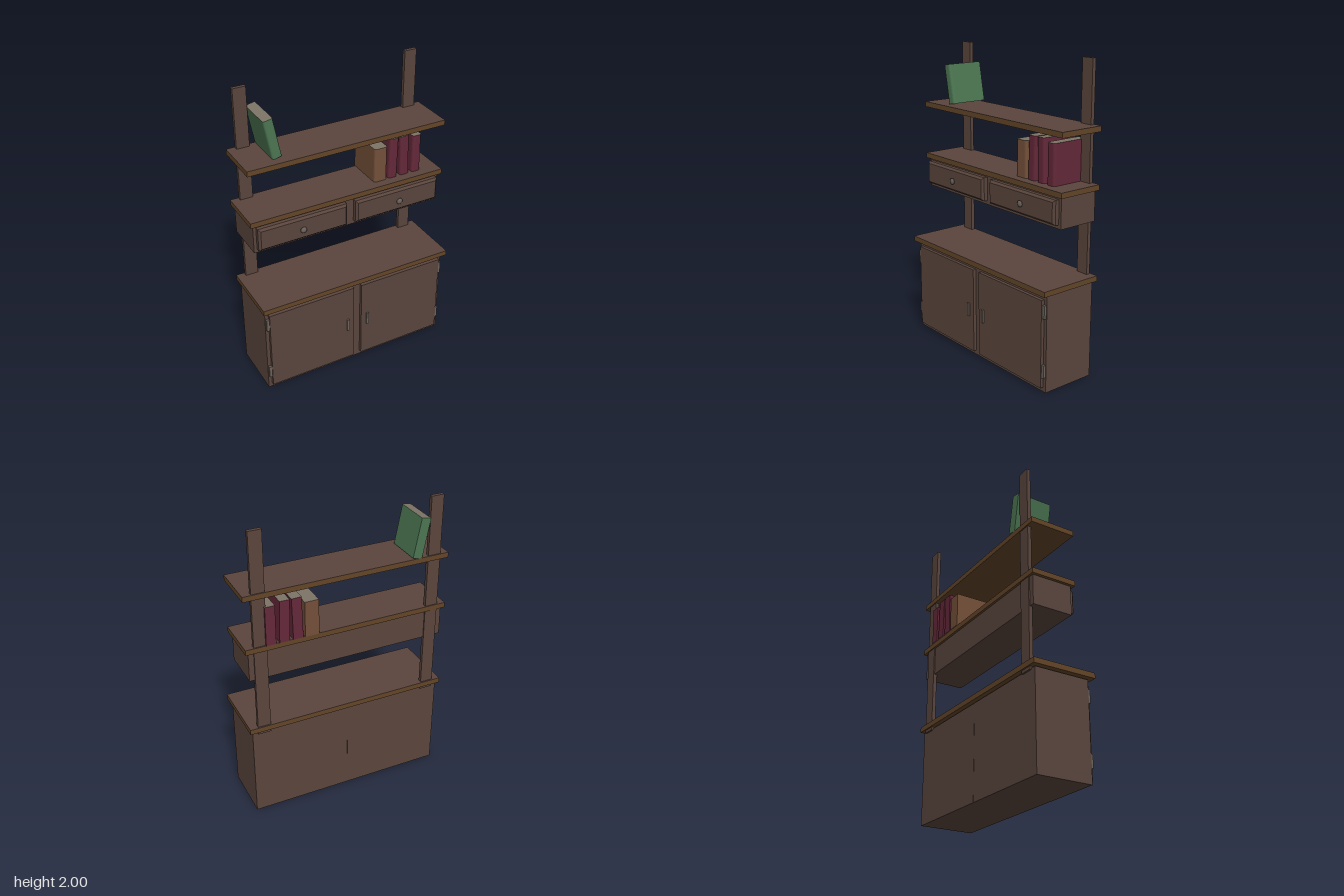
import * as THREE from 'three';

const mat = (color) => new THREE.MeshStandardMaterial({ color });
const wood = mat(0x5a453d);
const edgeWood = mat(0x634527);
const metal = mat(0x6b625a);
const pages = mat(0x7d7466);

export function createModel() {
  const model = new THREE.Group();

  const add = (name, geometry, material, x = 0, y = 0, z = 0) => {
    const mesh = new THREE.Mesh(geometry, material);
    mesh.name = name;
    mesh.position.set(x, y, z);
    model.add(mesh);
    return mesh;
  };

  // Box given by its lower and upper bounds on each axis
  const box = (name, material, x0, x1, y0, y1, z0, z1) =>
    add(name, new THREE.BoxGeometry(x1 - x0, y1 - y0, z1 - z0), material,
      (x0 + x1) / 2, (y0 + y1) / 2, (z0 + z1) / 2);

  // Shelf board with a lighter core and a dark top surface
  const shelf = (name, y0, y1, z0, z1) => {
    box(name, edgeWood, -0.68, 0.68, y0, y1 - 0.002, z0, z1);
    box(name + 'Surface', wood, -0.68, 0.68, y1 - 0.002, y1, z0, z1);
  };

  // Panel with chamfered front edges, its back at z = 0
  const beveledPanel = (w, h, depth, bevel) => {
    const a = w / 2 - bevel, b = h / 2 - bevel;
    const shape = new THREE.Shape([
      new THREE.Vector2(-a, -b), new THREE.Vector2(a, -b),
      new THREE.Vector2(a, b), new THREE.Vector2(-a, b),
    ]);
    return new THREE.ExtrudeGeometry(shape, {
      depth: depth - bevel, bevelThickness: bevel, bevelSize: bevel, bevelSegments: 1,
    });
  };

  // Base cabinet, drawer case and shelves
  box('cabinetBody', wood, -0.66, 0.66, 0, 0.63, -0.19, 0.18);
  box('cabinetNeck', wood, -0.64, 0.64, 0.63, 0.64, -0.18, 0.17);
  shelf('counterTop', 0.64, 0.675, -0.213, 0.22);
  box('drawerCase', wood, -0.66, 0.66, 1.025, 1.22, -0.195, 0.08);
  shelf('middleShelf', 1.22, 1.255, -0.21, 0.1);
  shelf('topShelf', 1.575, 1.61, -0.21, 0.1);

  // Turned drawer knob, revolved around its axis
  const knobGeometry = new THREE.LatheGeometry([
    [0.01, 0], [0.01, 0.008], [0.021, 0.012], [0.021, 0.018], [0.013, 0.024], [0, 0.025],
  ].map(([r, y]) => new THREE.Vector2(r, y)), 12);
  knobGeometry.rotateX(Math.PI / 2);

  for (const s of [-1, 1]) {
    const mirrored = (name, material, a, b, ...rest) =>
      box(name, material, Math.min(s * a, s * b), Math.max(s * a, s * b), ...rest);

    mirrored('post', wood, 0.54, 0.625, 0.62, 2, -0.203, -0.178);
    mirrored('backPanel', wood, 0.001, 0.66, 0, 0.63, -0.192, -0.188);

    // Drawer front and knob
    add('drawerFront', beveledPanel(0.61, 0.155, 0.04, 0.014), wood, s * 0.335, 1.128, 0.08);
    add('drawerKnob', knobGeometry, metal, s * 0.345, 1.122, 0.113);

    // Door with handle and two hinges
    mirrored('door', wood, 0.028, 0.636, 0.03, 0.605, 0.18, 0.202);
    mirrored('doorHandle', metal, 0.065, 0.083, 0.272, 0.362, 0.2, 0.213);
    for (const y of [0.14, 0.53]) {
      mirrored('hinge', metal, 0.633, 0.655, y - 0.043, y + 0.043, 0.18, 0.196);
    }
  }

  // Book standing on its base centre, with the rounded spine towards the front
  const book = (name, material, x, y, w, h, tilt = 0, z0 = -0.215, z1 = 0.04) => {
    const a = w / 2, r = 0.018;
    const shape = new THREE.Shape();
    shape.moveTo(-a, -z0);
    shape.lineTo(-a, -z1 + r);
    shape.quadraticCurveTo(-a, -z1, -a + r, -z1);
    shape.lineTo(a - r, -z1);
    shape.quadraticCurveTo(a, -z1, a, -z1 + r);
    shape.lineTo(a, -z0);
    const geometry = new THREE.ExtrudeGeometry(shape, {
      depth: h, bevelEnabled: false, curveSegments: 4,
    });
    geometry.rotateX(-Math.PI / 2);
    add(name, geometry, [pages, material], x, y, 0).rotation.z = tilt;
  };

  const maroon = mat(0x642839);
  book('brownBook', mat(0x74503a), 0.252, 1.255, 0.092, 0.235);
  book('redBook', maroon, 0.343, 1.255, 0.065, 0.278, -0.025);
  book('redBook', maroon, 0.432, 1.255, 0.065, 0.278, 0.025);
  book('redBook', maroon, 0.518, 1.255, 0.064, 0.26);
  book('leaningBook', mat(0x4c7652), -0.459, 1.614, 0.064, 0.26, 0.19, -0.21, 0.042);

  return model;
}
